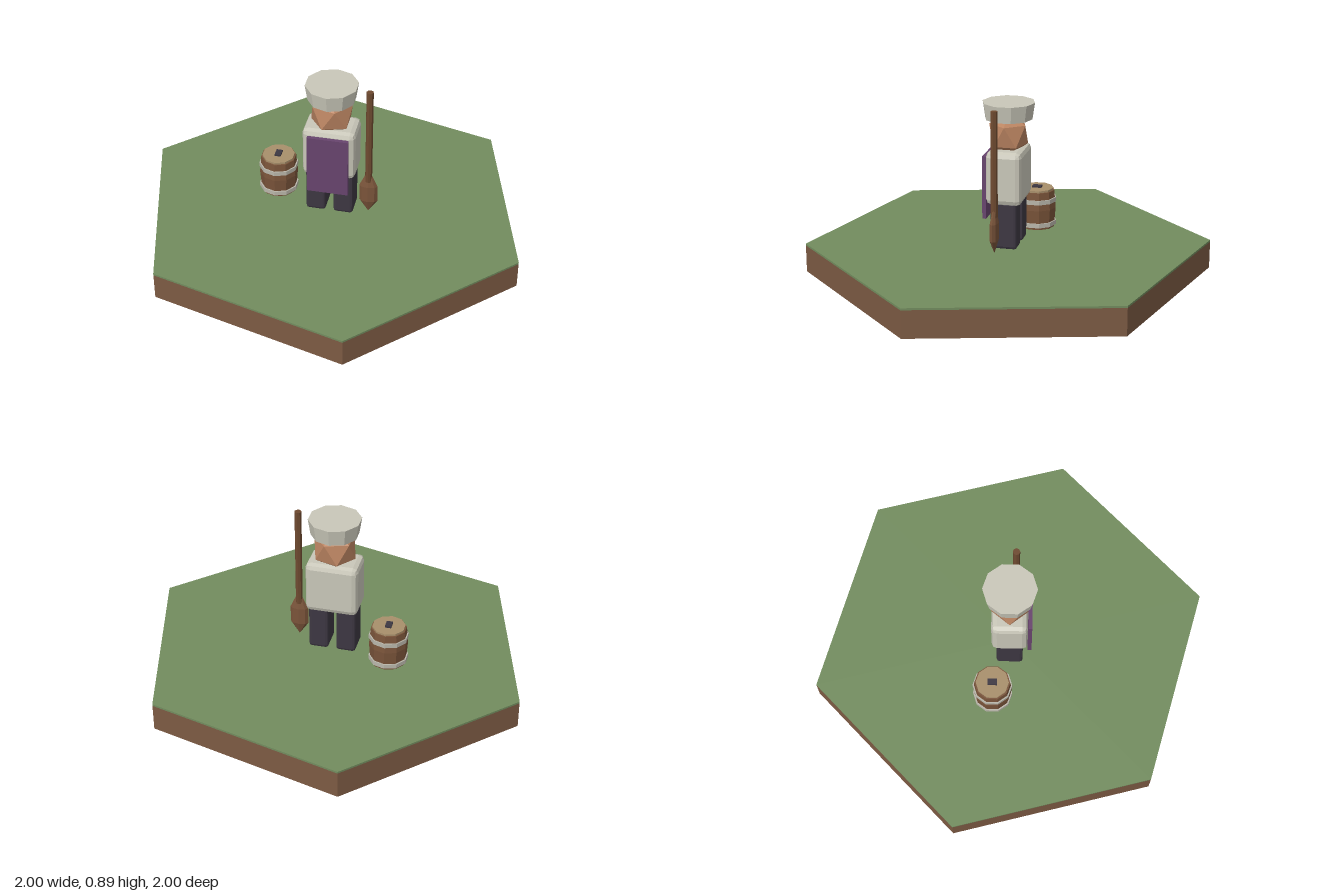
import * as THREE from 'three';
import { RoundedBoxGeometry } from 'three/addons/geometries/RoundedBoxGeometry.js';

const mat = (name, color, side = THREE.FrontSide) =>
  new THREE.MeshStandardMaterial({ name, color, flatShading: true, side });

export function createModel() {
  const M = {
    grass: mat('grass green', 0x728c5e),
    earth: mat('earth brown', 0x7c5a43),
    cloth: mat('pale cloth', 0xc9c7b9),
    apron: mat('plum', 0x68446e),
    trousers: mat('charcoal', 0x3d3742),
    skin: mat('skin', 0xbc8562),
    wood: mat('wood brown', 0x7a543a),
    lid: mat('tan wood', 0xa88f6b),
    band: mat('grey band', 0xb9b6aa),
    shaft: mat('dark wood', 0x6e4a30),
  };
  const model = new THREE.Group();
  model.name = 'cookOnHexTile';

  const add = (parent, name, geometry, material, x = 0, y = 0, z = 0) => {
    const mesh = new THREE.Mesh(geometry, material);
    mesh.name = name;
    mesh.position.set(x, y, z);
    parent.add(mesh);
    return mesh;
  };
  const group = (name, x, y, z) => {
    const g = new THREE.Group();
    g.name = name;
    g.position.set(x, y, z);
    model.add(g);
    return g;
  };
  const lathe = (points, sides) =>
    new THREE.LatheGeometry(points.map(([r, y]) => new THREE.Vector2(r, y)), sides);

  // Hexagonal ground tile
  const hex = (h) => new THREE.CylinderGeometry(1.035, 1.035, h, 6).rotateY(Math.PI / 12);
  add(model, 'earthBase', hex(0.14), M.earth, 0, 0.07, 0);
  add(model, 'grassTop', hex(0.01), M.grass, 0, 0.145, 0);

  // Figure
  const figure = group('figure', 0, 0.15, 0);
  for (const side of [-1, 1]) {
    add(figure, side < 0 ? 'rightLeg' : 'leftLeg',
      new RoundedBoxGeometry(0.102, 0.25, 0.135, 1, 0.015), M.trousers, side * 0.071, 0.125, 0);
  }
  add(figure, 'torso', new RoundedBoxGeometry(0.27, 0.275, 0.182, 1, 0.028), M.cloth, 0, 0.368, 0);
  add(figure, 'apron', new THREE.BoxGeometry(0.21, 0.325, 0.02), M.apron, 0, 0.313, 0.102);

  // Faceted head, turned so one corner points up
  const head = new THREE.IcosahedronGeometry(0.118, 0);
  head.rotateZ(-Math.atan(2 / (1 + Math.sqrt(5)))).scale(1, 1, 0.92);
  add(figure, 'head', head, M.skin, 0, 0.575, 0);
  add(figure, 'hat', new THREE.CylinderGeometry(0.134, 0.121, 0.085, 10), M.cloth, 0, 0.696, 0);

  // Barrel
  const barrel = group('barrel', -0.3, 0.15, -0.083);
  add(barrel, 'barrelBody',
    lathe([[0, 0], [0.091, 0], [0.099, 0.105], [0.091, 0.2], [0, 0.2]], 10), M.wood);
  for (const y of [0.024, 0.15]) {
    add(barrel, 'barrelBand', new THREE.CylinderGeometry(0.101, 0.101, 0.023, 10), M.band, 0, y, 0);
  }
  add(barrel, 'barrelLid', new THREE.CylinderGeometry(0.084, 0.084, 0.016, 10), M.lid, 0, 0.202, 0);
  add(barrel, 'barrelKnob', new THREE.BoxGeometry(0.032, 0.012, 0.048), M.trousers, 0, 0.213, 0);

  // Paddle standing beside the figure
  const paddle = group('paddle', 0.196, 0.15, 0.027);
  add(paddle, 'paddleShaft', new THREE.CylinderGeometry(0.018, 0.018, 0.54, 8), M.shaft, 0, 0.465, 0);
  const blade = lathe([[0, 0.005], [0.047, 0.075], [0.047, 0.165], [0.018, 0.23], [0, 0.23]], 8);
  add(paddle, 'paddleBlade', blade.scale(1, 1, 0.46), M.wood);

  return model;
}
